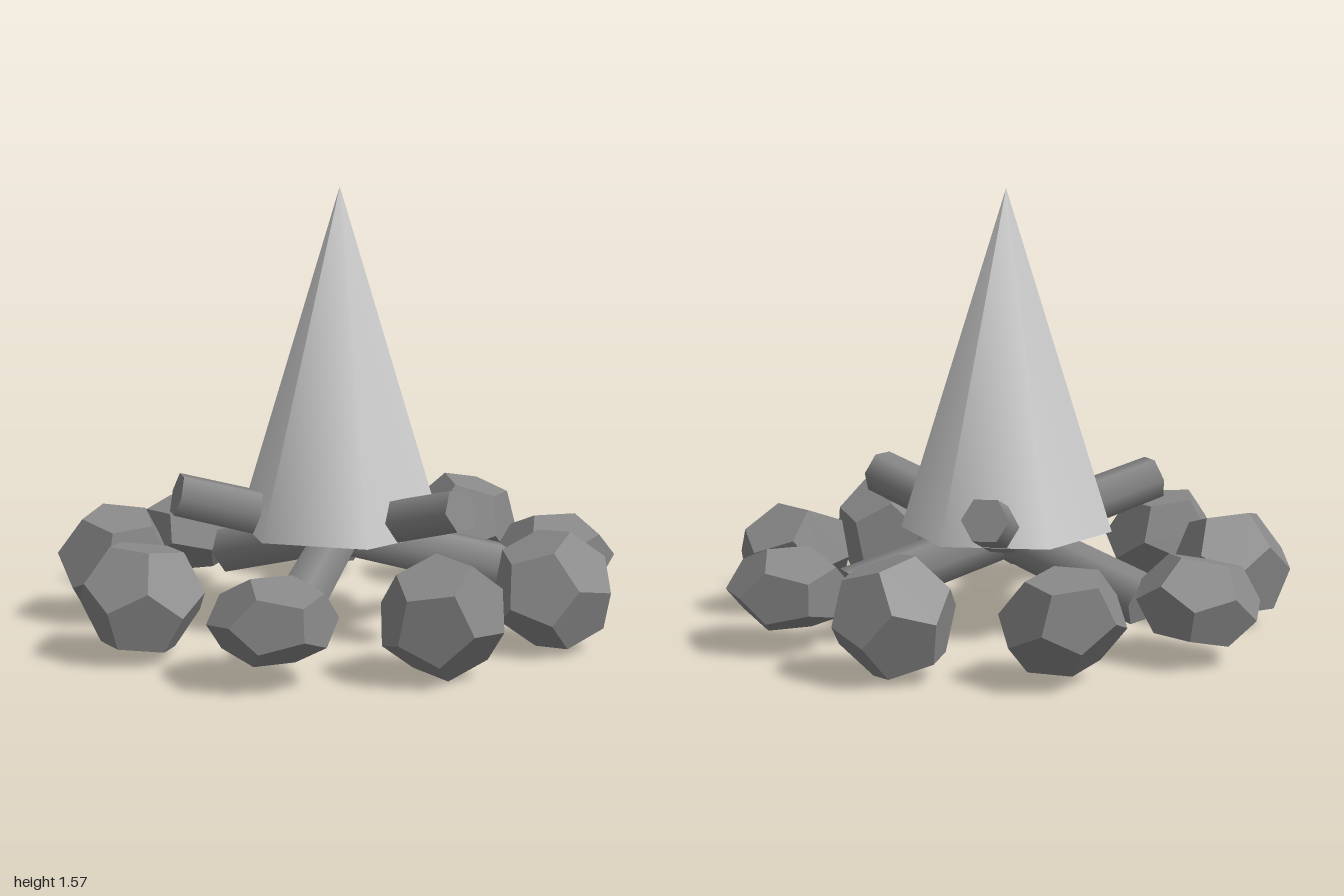
import * as THREE from 'three';

export function createModel() {
  const model = new THREE.Group();
  const paleGrey = new THREE.MeshStandardMaterial({ color: 0xcccccc });
  const stoneGrey = new THREE.MeshStandardMaterial({ color: 0x888888 });

  const fire = new THREE.Group();
  fire.name = 'campfire';
  fire.position.set(-0.02, 0, -0.013);
  model.add(fire);

  // Six-sided flame with smooth shading
  const flame = new THREE.Mesh(new THREE.ConeGeometry(0.38, 1.22, 6), paleGrey);
  flame.name = 'flame';
  flame.position.y = 0.355 + 0.61;
  fire.add(flame);

  // Three tapered logs crossing under the flame, each with one raised end
  const logGeometry = new THREE.CylinderGeometry(0.081, 0.093, 1.228, 6);
  for (let i = 0; i < 3; i++) {
    const pivot = new THREE.Group();
    pivot.name = 'log';
    pivot.rotation.y = (i * Math.PI * 2) / 3;
    const log = new THREE.Mesh(logGeometry, stoneGrey);
    log.name = 'logBody';
    log.position.y = 0.341;
    log.rotation.z = Math.PI / 2 - 0.27;
    pivot.add(log);
    fire.add(pivot);
  }

  // Ring of nine faceted stones, tumbled and flattened in turn
  const stoneGeometry = new THREE.DodecahedronGeometry(0.22);
  for (let i = 0; i < 9; i++) {
    const angle = (i * Math.PI * 2) / 9;
    const stone = new THREE.Mesh(stoneGeometry, stoneGrey);
    stone.name = 'stone';
    stone.position.set(0.815 * Math.cos(angle), 0.213, 0.815 * Math.sin(angle));
    stone.rotation.set(i, i * 2, 0);
    stone.scale.y = 0.7 + (i % 3) * 0.1;
    fire.add(stone);
  }

  return model;
}
